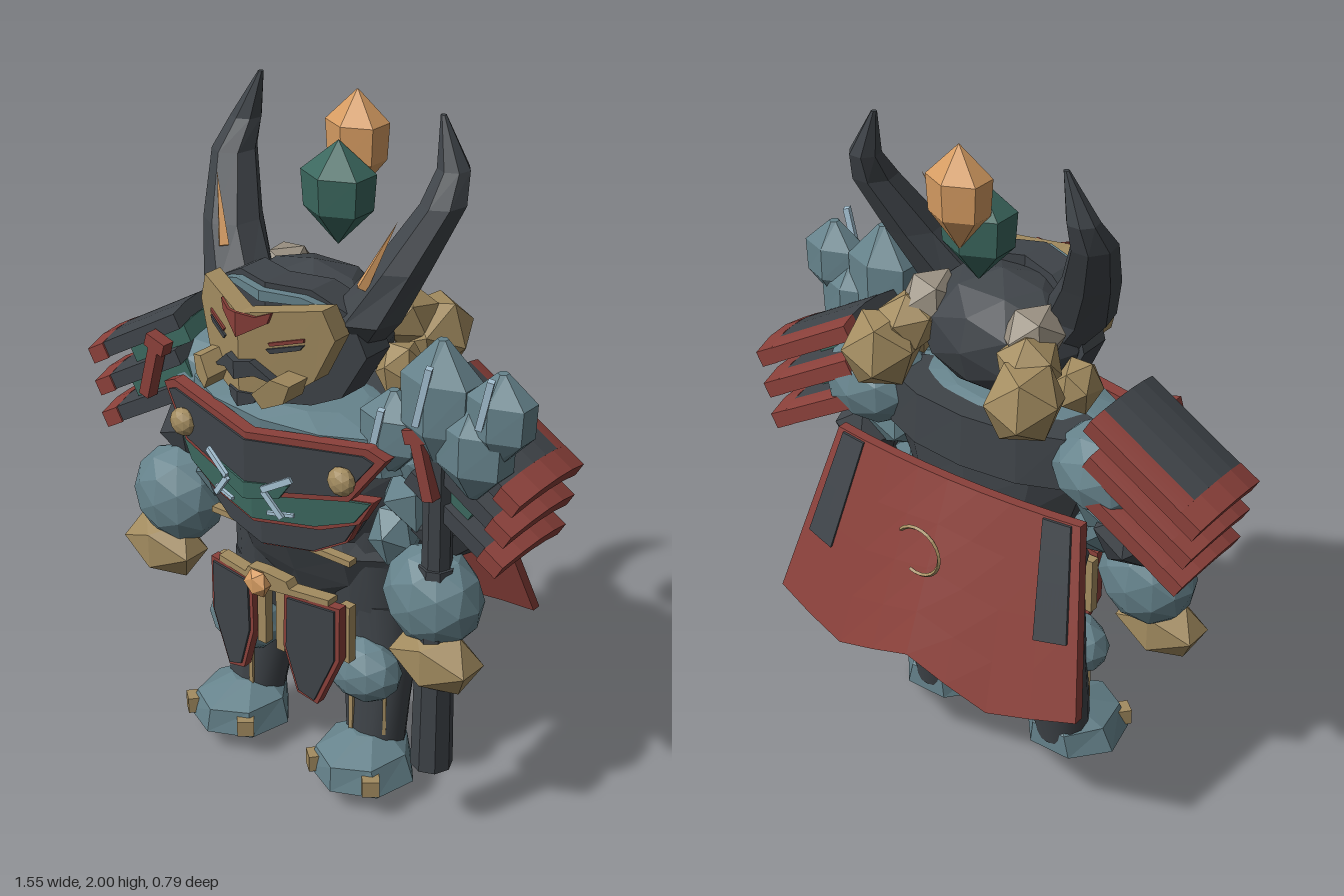
import * as THREE from 'three';

const paint = (name, color) => {
  const m = new THREE.MeshStandardMaterial({ color });
  m.name = name;
  return m;
};

export function createModel() {
  const root = new THREE.Group();
  root.name = 'hornedWarrior';
  const dark = paint('charcoal', 0x3f4449), slate = paint('slateBlue', 0x66838c), red = paint('darkRed', 0x8a403a);
  const green = paint('deepGreen', 0x3b675e), tan = paint('bronze', 0xa38c60), orange = paint('amber', 0xd69c62);
  const ice = paint('iceBlue', 0xa9c6d8), grey = paint('stoneGrey', 0x9a9182);

  // Adds a mesh, faceted unless smooth is asked for
  function add(name, geo, mat, pos = [0, 0, 0], rot = [0, 0, 0], smooth = false) {
    if (!smooth && geo.index) geo = geo.toNonIndexed();
    geo.computeVertexNormals();
    const m = new THREE.Mesh(geo, mat);
    m.name = name;
    m.position.set(...pos);
    m.rotation.set(...rot);
    root.add(m);
  }
  // Faceted lump
  const blob = (name, mat, pos, size, detail = 0, [rx, ry] = [0, 0]) =>
    add(name, new THREE.IcosahedronGeometry(1, detail).rotateX(rx).rotateY(ry).scale(...size), mat, pos);
  const box = (name, mat, size, pos, rot) => add(name, new THREE.BoxGeometry(...size), mat, pos, rot);

  // Moves every vertex by a rule
  function warp(geo, rule) {
    const p = geo.attributes.position;
    for (let i = 0; i < p.count; i++) p.setXYZ(i, ...rule(p.getX(i), p.getY(i), p.getZ(i)));
    return geo;
  }
  // Rings listed from top to bottom: [x, y, z, radiusX, radiusZ]
  function loft(name, mat, rings, sides, smooth = false) {
    const n = rings.length - 1;
    const geo = warp(new THREE.CylinderGeometry(1, 1, 1, sides, n), (x, y, z) => {
      const r = rings[Math.round((0.5 - y) * n)];
      return [r[0] + x * r[3], r[1], r[2] + z * r[4]];
    });
    add(name, geo, mat, [0, 0, 0], [0, 0, 0], smooth);
  }
  // Plate with a vertical crease: front at z0 in the middle, swept back by k to each side
  function panel(name, mat, pts, z0, k, depth, s) {
    const shape = new THREE.Shape(pts.map(([x, y]) => new THREE.Vector2(x * s, y)));
    const geo = new THREE.ExtrudeGeometry(shape, { depth, bevelEnabled: false });
    add(name, warp(geo, (x, y, z) => [x, y, z + z0 - depth - k * Math.abs(x)]), mat);
  }
  const creased = (name, mat, pts, z0, k, depth) => [1, -1].forEach(s => panel(name, mat, pts, z0, k, depth, s));

  // Torso, hips and neck
  loft('torso', dark, [[0, 1.2, 0.03, 0.33, 0.15], [0, 1.06, 0.03, 0.35, 0.16], [0, 0.93, 0.04, 0.3, 0.17], [0, 0.8, 0.03, 0.25, 0.15]], 10);
  loft('hips', dark, [[0, 0.88, 0, 0.25, 0.14], [0, 0.76, 0.02, 0.31, 0.16], [0, 0.66, 0, 0.3, 0.14], [0, 0.57, 0, 0.12, 0.1]], 10);
  loft('neckGuard', slate, [[0, 1.215, 0.09, 0.2, 0.13], [0, 1.19, 0.09, 0.37, 0.19], [0, 1.08, 0.09, 0.39, 0.18]], 12);
  loft('backCollar', dark, [[0, 1.205, 0, 0.34, 0.135], [0, 1.05, 0, 0.35, 0.145]], 12);

  // Chest armour
  creased('chestTrim', red, [[0, 1.175], [0.34, 1.195], [0.39, 1.17], [0.29, 1.03], [0, 0.985]], 0.34, 0.27, 0.04);
  creased('chestPlate', dark, [[0, 1.155], [0.33, 1.174], [0.36, 1.16], [0.275, 1.044], [0, 1.002]], 0.346, 0.27, 0.03);
  creased('bellyTrim', red, [[0, 1.0], [0.34, 1.025], [0.3, 0.95], [0.19, 0.908], [0, 0.892]], 0.31, 0.27, 0.04);
  creased('bellyPlate', green, [[0, 1.0], [0.335, 1.022], [0.29, 0.957], [0.18, 0.92], [0, 0.905]], 0.318, 0.27, 0.03);
  creased('lowerTrim', red, [[0, 0.92], [0.29, 0.97], [0.243, 0.864], [0.152, 0.814], [0, 0.803]], 0.272, 0.27, 0.03);
  creased('lowerPlate', dark, [[0, 0.93], [0.3, 0.98], [0.24, 0.87], [0.15, 0.82], [0, 0.81]], 0.28, 0.27, 0.06);
  creased('chestBand', green, [[0, 1.03], [0.13, 1.045], [0.1, 1.0], [0, 0.98]], 0.352, 0.27, 0.008);
  box('belt', tan, [0.5, 0.018, 0.03], [0, 0.797, 0.19]);
  creased('waistBelt', tan, [[0, 0.715], [0.07, 0.7], [0.08, 0.68], [0.2, 0.678], [0.2, 0.66], [0, 0.66]], 0.275, 0.2, 0.04);
  blob('buckle', orange, [0, 0.69, 0.3], [0.045, 0.045, 0.028]);

  // Head and helmet
  blob('helmet', dark, [0, 1.4, 0.05], [0.25, 0.18, 0.19], 1);
  creased('helmetRim', dark, [[0, 1.575], [0.12, 1.57], [0.22, 1.515], [0.265, 1.4], [0.2, 1.275], [0.12, 1.24], [0, 1.23]], 0.25, 0.35, 0.1);
  creased('browBand', slate, [[0, 1.56], [0.11, 1.555], [0.17, 1.535], [0, 1.53]], 0.275, 0.35, 0.07);
  creased('mask', tan, [[0, 1.525], [0.2, 1.55], [0.23, 1.47], [0.18, 1.35], [0.1, 1.29], [0, 1.28]], 0.36, 0.5, 0.06);
  creased('cheek', tan, [[0.075, 1.33], [0.12, 1.375], [0.165, 1.36], [0.15, 1.31], [0.1, 1.29]], 0.435, 0.5, 0.08);
  creased('foreheadMark', red, [[0, 1.53], [0.045, 1.52], [0.085, 1.535], [0.075, 1.505], [0, 1.46]], 0.369, 0.5, 0.009);
  creased('moustache', dark, [[0, 1.395], [0.04, 1.4], [0.11, 1.34], [0.05, 1.36], [0, 1.345]], 0.38, 0.42, 0.035);
  creased('beardPatch', dark, [[0, 1.305], [0.05, 1.3], [0.04, 1.275], [0, 1.262]], 0.368, 0.5, 0.008);
  creased('eye', dark, [[0.07, 1.432], [0.16, 1.452], [0.15, 1.437], [0.08, 1.42]], 0.367, 0.5, 0.008);
  creased('eyebrow', red, [[0.075, 1.45], [0.16, 1.47], [0.16, 1.46], [0.08, 1.441]], 0.367, 0.5, 0.008);

  // Floating crest flames
  const gem = (name, mat, y0, y1, z, r) => {
    const h = y1 - y0;
    loft(name, mat, [[0, y1, z, 0.002, 0.002], [0, y1 - h * 0.3, z, r, r * 0.8], [0, y0 + h * 0.35, z, r * 0.93, r * 0.75], [0, y0, z, 0.002, 0.002]], 6);
  };
  gem('upperFlame', orange, 1.71, 2.0, -0.135, 0.093);
  gem('lowerFlame', green, 1.59, 1.88, -0.055, 0.11);

  // Layered shoulder plate piece: u runs outward and down, arched along z
  function shoulderPiece(name, mat, s, start, u0, u1, z0, z1, thick, drop) {
    const c = Math.cos(0.53), n = Math.sin(0.53);
    add(name, warp(new THREE.BoxGeometry(u1 - u0, thick, z1 - z0, 1, 1, 4), (x, y, z) => {
      const u = s * x + (u0 + u1) / 2, w = z + (z0 + z1) / 2;
      const v = y - drop - 0.03 * ((w - 0.015) / 0.15) ** 2;
      return [s * (start[0] + u * c + v * n), start[1] - u * n + v * c, w];
    }), mat);
  }

  for (const s of [1, -1]) {
    // Horns with inlays
    loft('horn', dark, [[0.305 * s, 2.0, -0.1, 0.008, 0.008], [0.35 * s, 1.87, -0.09, 0.045, 0.045], [0.355 * s, 1.79, -0.045, 0.06, 0.07],
      [0.29 * s, 1.63, 0.04, 0.078, 0.09], [0.215 * s, 1.49, 0.1, 0.105, 0.095], [0.17 * s, 1.4, 0.08, 0.07, 0.07]], 7);
    add('hornInlay', new THREE.ConeGeometry(0.018, 0.2, 4), orange, [0.27 * s, 1.675, 0.115], [-0.3, 0, -0.35 * s]);

    // Hair tufts
    blob('hairTuft', tan, [0.24 * s, 1.355, -0.175], [0.11, 0.12, 0.125], 0, [0.3, 0.5]);
    blob('innerTuft', tan, [0.2 * s, 1.42, -0.1], [0.09, 0.09, 0.1], 0, [0.8, 0.2]);
    blob('greyTuft', grey, [0.17 * s, 1.47, -0.04], [0.085, 0.09, 0.1], 0, [0.2, 0.9]);
    blob('sideTuft', tan, [0.275 * s, 1.325, 0.02], [0.065, 0.085, 0.08], 0, [0.2, 0]);

    // Chest ornaments
    blob('chestStud', tan, [0.28 * s, 1.095, 0.28], [0.042, 0.042, 0.03], 1);
    box('upperWhisker', ice, [0.1, 0.018, 0.01], [0.105 * s, 1.05, 0.337], [0, 0.25 * s, 0.5 * s]);
    box('lowerWhisker', ice, [0.09, 0.016, 0.01], [0.09 * s, 0.985, 0.337], [0, 0.25 * s, -0.9 * s]);
    box('whiskerTip', ice, [0.08, 0.01, 0.01], [0.1 * s, 0.95, 0.315], [0, 0.25 * s, 0.1 * s]);

    // Arms
    blob('shoulder', slate, [0.4 * s, 1.13, 0.0], [0.165, 0.13, 0.15], 1);
    blob('upperArm', slate, [0.37 * s, 1.0, 0.05], [0.11, 0.12, 0.11], 0, [0.2, 0.5]);
    blob('armGuard', slate, [0.315 * s, 0.87, 0.08], [0.075, 0.1, 0.09], 0, [0.4, 0.2]);
    blob('elbow', dark, [0.46 * s, 0.93, 0.03], [0.115, 0.115, 0.11], 0, [0.3, 0.3]);
    blob('forearm', slate, [0.465 * s, 0.74, 0.11], [0.15, 0.15, 0.115], 1);
    blob('hand', tan, [0.5 * s, 0.57, 0.14], [0.148, 0.105, 0.09]);

    // Shoulder armour
    [[0.42, 1.345], [0.42, 1.235], [0.42, 1.125]].forEach((start, i) => {
      const len = 0.4 - i * 0.025;
      shoulderPiece('shoulderPlate', dark, s, start, 0, len - 0.07, -0.08, 0.16, 0.045, 0);
      shoulderPiece('shoulderEdge', red, s, start, len - 0.07, len, -0.13, 0.165, 0.047, 0);
      shoulderPiece('shoulderBackEdge', red, s, start, 0, len - 0.07, -0.13, -0.08, 0.045, 0);
      if (i < 2) shoulderPiece('shoulderLining', green, s, start, 0, 0.25, -0.03, 0.14, 0.05, 0.05);
    });
    box('upperStrap', red, [0.07, 0.04, 0.04], [0.455 * s, 1.25, 0.185], [0, 0, 0.3 * s]);
    box('lowerStrap', red, [0.035, 0.18, 0.04], [0.48 * s, 1.165, 0.185], [0, 0, 0.27 * s]);

    // Front skirt panels and hanging cords
    panel('tassetTrim', red, [[0.06, 0.66], [0.235, 0.66], [0.235, 0.49], [0.165, 0.325], [0.1, 0.345], [0.055, 0.49]], 0.265, 0.15, 0.03, s);
    panel('tasset', dark, [[0.073, 0.65], [0.222, 0.65], [0.222, 0.49], [0.158, 0.338], [0.108, 0.357], [0.068, 0.49]], 0.272, 0.15, 0.02, s);
    box('innerCord', tan, [0.03, 0.22, 0.03], [0.034 * s, 0.565, 0.23]);
    box('outerCord', tan, [0.035, 0.18, 0.03], [0.225 * s, 0.56, 0.18]);

    // Legs and feet
    loft('thigh', dark, [[0.17 * s, 0.86, -0.01, 0.12, 0.13], [0.17 * s, 0.72, -0.01, 0.14, 0.13], [0.18 * s, 0.56, -0.02, 0.14, 0.122]], 14, true);
    loft('shin', dark, [[0.2 * s, 0.6, 0, 0.115, 0.1], [0.21 * s, 0.42, 0.005, 0.113, 0.095], [0.22 * s, 0.27, 0.03, 0.1, 0.085], [0.23 * s, 0.1, 0.05, 0.085, 0.08]], 14, true);
    blob('knee', slate, [0.22 * s, 0.4, 0.1], [0.125, 0.1, 0.085], 1);
    box('shinStripe', tan, [0.014, 0.18, 0.01], [0.19 * s, 0.26, 0.115]);
    box('outerShinStripe', tan, [0.01, 0.15, 0.01], [0.29 * s, 0.27, 0.09], [0, 0.6 * s, 0]);
    loft('foot', slate, [[0.23 * s, 0.19, 0.08, 0.05, 0.06], [0.23 * s, 0.145, 0.11, 0.13, 0.15], [0.235 * s, 0.07, 0.115, 0.16, 0.155],
      [0.235 * s, 0.005, 0.12, 0.02, 0.03]], 7);
    for (const dx of [-0.1, 0.1]) box('toe', tan, [0.05, 0.05, 0.05], [(0.235 + dx) * s, 0.105, 0.21], [0, dx * 7 * s, 0]);
  }

  // Cape: across runs -1 to 1, down runs 0 to 1
  function capePiece(name, mat, s0, s1, t0, t1, thick, off) {
    add(name, warp(new THREE.BoxGeometry(1, 1, thick, 8, 4, 1), (x, y, z) => {
      const a = s0 + (x + 0.5) * (s1 - s0), t = t0 + (0.5 - y) * (t1 - t0), b = Math.abs(a);
      const hem = b < 0.5 ? 0.55 - 0.18 * b : 0.46 + (b - 0.5) * 0.12;
      return [a * (0.42 + 0.11 * t), 1.03 - t * (1.03 - hem), z + off - 0.15 - 0.03 * (1 - a * a) - t * (0.2 - 0.04 * a * a)];
    }), mat);
  }
  capePiece('cape', red, -1, 1, 0, 1, 0.03, 0);
  for (const s of [1, -1]) capePiece('capeBorder', dark, 0.84 * s - 0.1, 0.84 * s + 0.1, 0.01, 0.6, 0.008, -0.018);
  add('capeRing', new THREE.TorusGeometry(0.075, 0.006, 4, 16, 4.4), tan, [0, 0.87, -0.335], [0, 0, 0.7]);

  // Crystal club held in the left hand
  loft('clubHandle', dark, [[0.49, 1.25, 0.14, 0.04, 0.04], [0.495, 0.84, 0.14, 0.042, 0.042]], 8);
  loft('clubGrip', dark, [[0.495, 0.86, 0.14, 0.05, 0.05], [0.495, 0.22, 0.14, 0.06, 0.06]], 8);
  const crystal = (x, y, r, h) => loft('clubCrystal', slate, [[x, y + h, 0.15, 0.015, 0.015], [x, y + h * 0.4, 0.15, r, r * 0.65],
    [x, y - h * 0.4, 0.15, r * 0.95, r * 0.65], [x, y - h, 0.15, 0.02, 0.02]], 6);
  crystal(0.5, 1.345, 0.118, 0.175);
  crystal(0.685, 1.36, 0.1, 0.12);
  crystal(0.35, 1.22, 0.1, 0.115);
  crystal(0.61, 1.25, 0.115, 0.14);
  [[0.355, 1.26, 0.1], [0.495, 1.385, 0.17], [0.685, 1.42, 0.14]].forEach(([x, y, h]) =>
    box('clubSpike', ice, [0.018, h, 0.022], [x, y, 0.225], [0.05, 0.4, -0.22]));
  return root;
}
